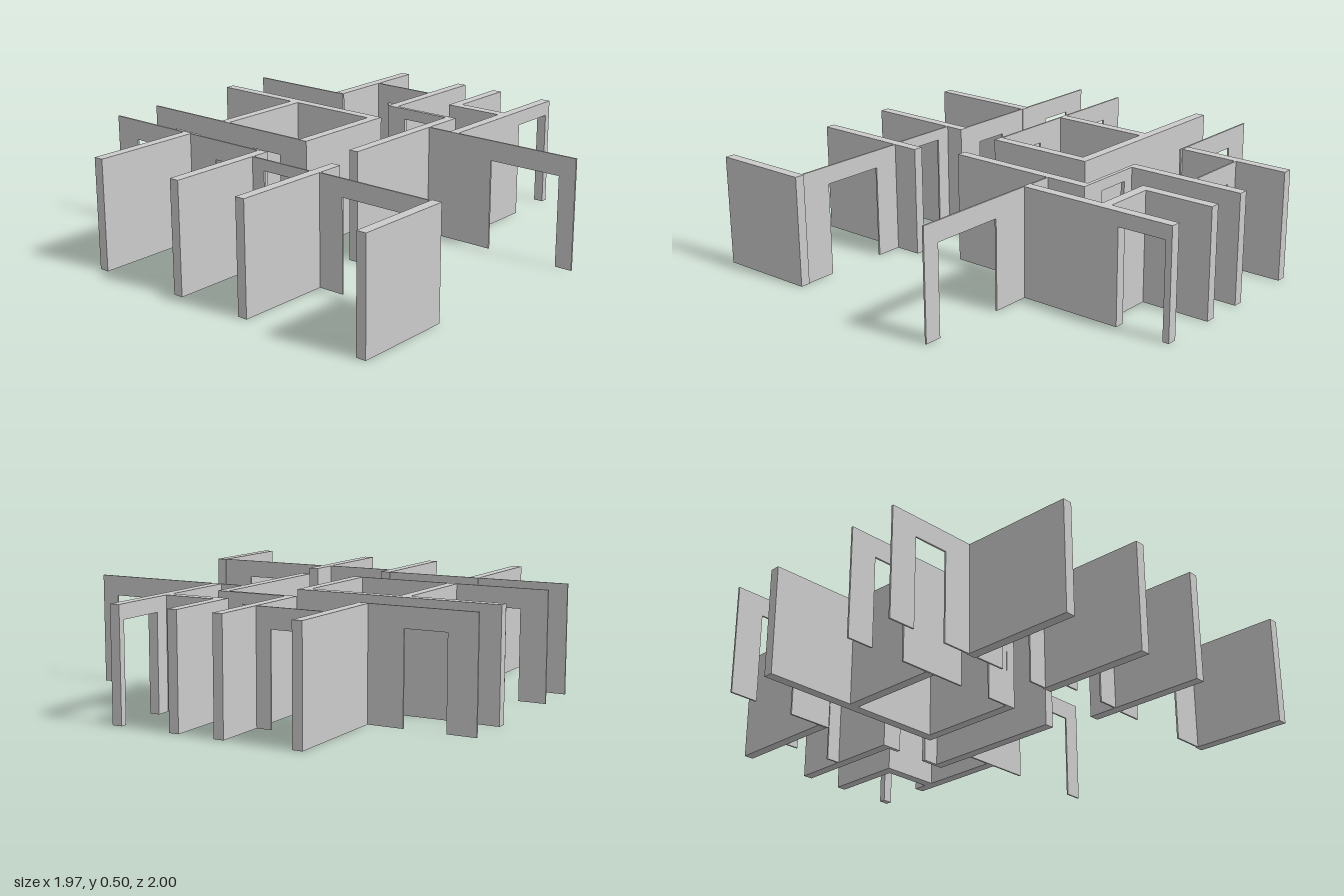
import * as THREE from 'three';

const H = 0.495;

export function createModel() {
  const model = new THREE.Group();
  const material = new THREE.MeshStandardMaterial({ color: 0xcccccc, flatShading: true });

  // Solid block between two plan corners
  function wall(name, x0, x1, z0, z1) {
    const mesh = new THREE.Mesh(new THREE.BoxGeometry(x1 - x0, H, z1 - z0), material);
    mesh.position.set((x0 + x1) / 2, H / 2, (z0 + z1) / 2);
    mesh.name = name;
    model.add(mesh);
  }

  // Wall outline from a to b with doorways [from, to, height] cut up from the floor
  function outline(a, b, doors) {
    const s = new THREE.Shape();
    s.moveTo(a, 0);
    for (const [d0, d1, h] of doors) {
      s.lineTo(d0, 0);
      s.lineTo(d0, h);
      s.lineTo(d1, h);
      s.lineTo(d1, 0);
    }
    s.lineTo(b, 0);
    s.lineTo(b, H);
    s.lineTo(a, H);
    s.closePath();
    return s;
  }

  // Wall with doorways running along x, centred on z
  function doorWall(name, a, b, z, doors, depth = 0.008) {
    const geo = new THREE.ExtrudeGeometry(outline(a, b, doors), { depth, bevelEnabled: false });
    geo.translate(0, 0, z - depth / 2);
    const mesh = new THREE.Mesh(geo, material);
    mesh.name = name;
    model.add(mesh);
  }

  // Thick partitions running front to back: x start, z start, z end
  const T = 0.045;
  const partitions = [
    ['backPartition', -0.506, -1, -0.482],
    ['backPartition', -0.153, -1, -0.455],
    ['backPartition', 0.058, -1, -0.635],
    ['hallPartition', 0.18, -0.45, 0.24],
    ['middlePartition', -0.56, -0.25, 0.25],
    ['middlePartition', -0.09, -0.255, 0.26],
    ['frontPartition', -0.56, 0.482, 1],
    ['frontPartition', -0.11, 0.482, 1],
    ['frontPartition', 0.25, 0.435, 1],
    ['frontPartition', 0.85, 0.55, 1],
  ];
  for (const [name, x, z0, z1] of partitions) wall(name, x, x + T, z0, z1);

  // Thick walls running side to side
  wall('closetWall', 0.103, 0.336, -0.68, -0.635);
  wall('middleRoomBackWall', -0.985, -0.09, -0.255, -0.21);

  // Partition with a doorway near its back end
  const sideGeo = new THREE.ExtrudeGeometry(outline(0.265, 1, [[0.745, 0.97, 0.43]]), { depth: T, bevelEnabled: false });
  sideGeo.rotateY(Math.PI / 2);
  sideGeo.translate(0.336, 0, 0);
  const side = new THREE.Mesh(sideGeo, material);
  side.name = 'backDoorPartition';
  model.add(side);

  // Thin walls with doorways
  const roomDoors = [[-0.86, -0.695, 0.405], [-0.365, -0.2, 0.405]];
  doorWall('frontRoomDoorWall', -0.985, -0.1, 0.49, roomDoors);
  doorWall('middleRoomDoorWall', -0.985, -0.09, 0.255, roomDoors);
  doorWall('backRoomDoorWall', -0.985, -0.455, -0.475, [[-0.855, -0.665, 0.405]]);
  doorWall('backAlcoveDoorWall', -0.461, -0.153, -0.755, [[-0.4, -0.22, 0.405]]);
  doorWall('hallDoorWall', -0.153, 0.225, -0.45, [[-0.055, 0.103, 0.445]], 0.018);
  doorWall('sideRoomDoorWall', 0.18, 0.985, -0.263, [[0.56, 0.905, 0.405]]);
  doorWall('entryDoorWall', -0.065, 0.25, 0.57, [[0, 0.155, 0.445]]);
  doorWall('frontSideDoorWall', 0.295, 0.85, 0.56, [[0.415, 0.705, 0.415]]);

  return model;
}
